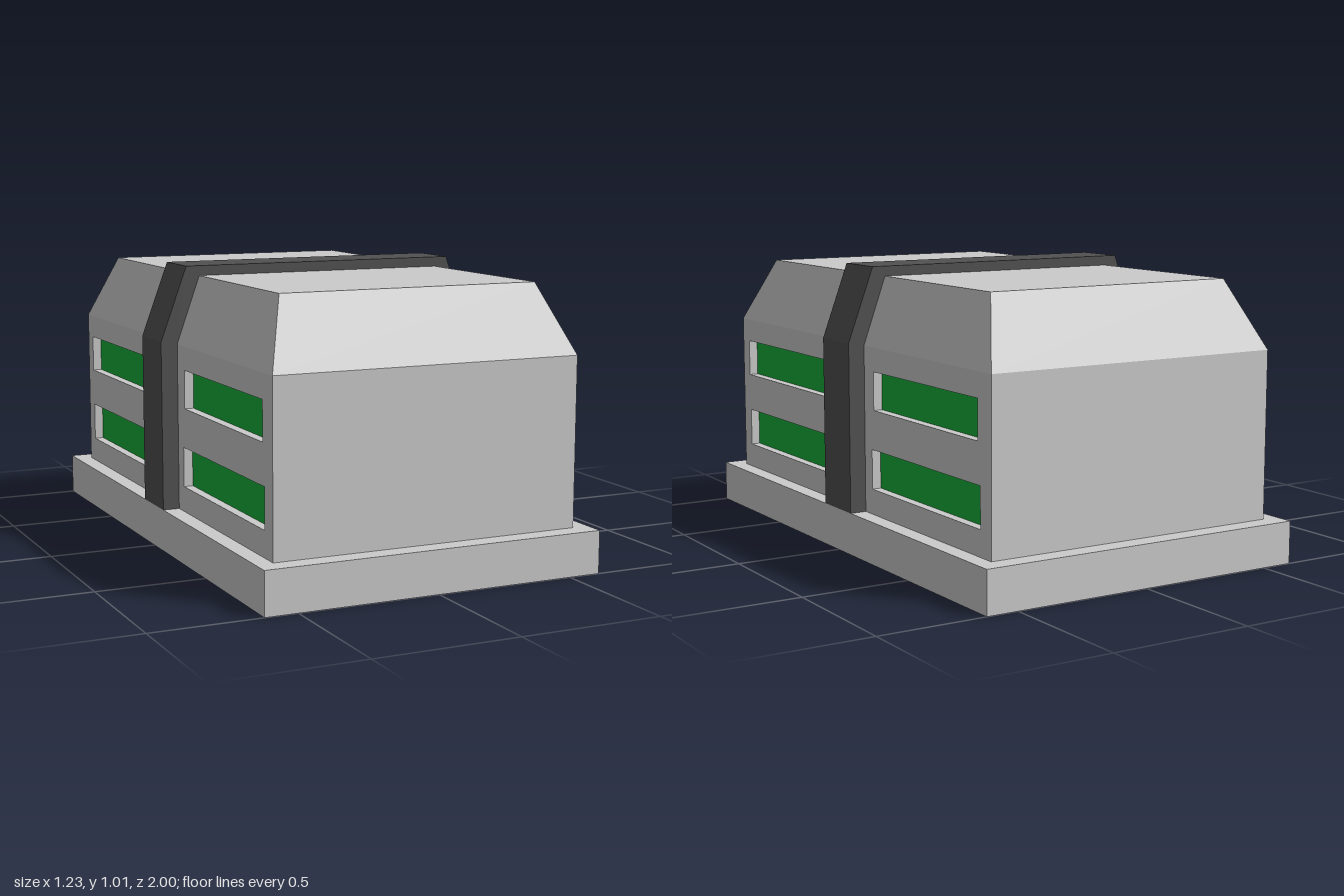
import * as THREE from 'three';

const grey = new THREE.MeshStandardMaterial({ color: 0xcccccc, flatShading: true });
const dark = new THREE.MeshStandardMaterial({ color: 0x515151, flatShading: true });
const green = new THREE.MeshStandardMaterial({ color: 0x16b138, flatShading: true });

// Body half sizes: at the walls and at the flat roof
const WALL = { x: 0.555, y: 0.74, z: 0.93 };
const ROOF = { x: 0.47, y: 0.977, z: 0.79 };
const FLOOR = 0.15;
const RECESS = 0.035;

// Window slots on a long side: [zMin, zMax, yMin, yMax]
const SLOTS = [
  [0.16, 0.875, 0.52, 0.655],
  [0.16, 0.87, 0.24, 0.38],
  [-0.85, -0.165, 0.52, 0.655],
  [-0.865, -0.15, 0.24, 0.38],
];

function add(parent, name, geometry, material) {
  const mesh = new THREE.Mesh(geometry, material);
  mesh.name = name;
  parent.add(mesh);
  return mesh;
}

function box(x, y0, y1, z) {
  return new THREE.BoxGeometry(2 * x, y1 - y0, 2 * z).translate(0, (y0 + y1) / 2, 0);
}

// Box whose top corners are pulled in to the flat roof
function hippedRoof() {
  const g = box(WALL.x, WALL.y, ROOF.y, WALL.z);
  const p = g.attributes.position;
  for (let i = 0; i < p.count; i++) {
    if (p.getY(i) > (WALL.y + ROOF.y) / 2) {
      p.setX(i, Math.sign(p.getX(i)) * ROOF.x);
      p.setZ(i, Math.sign(p.getZ(i)) * ROOF.z);
    }
  }
  g.computeVertexNormals();
  return g;
}

const rect = (a, b, c, d) => [[a, c], [b, c], [b, d], [a, d]].map(([x, y]) => new THREE.Vector2(x, y));

// Long side wall facing +x, cut by slots with coloured panes behind
function sideWall() {
  const side = new THREE.Group();
  const shape = new THREE.Shape(rect(-WALL.z, WALL.z, FLOOR, WALL.y));
  for (const [z0, z1, y0, y1] of SLOTS) {
    shape.holes.push(new THREE.Path(rect(-z1, -z0, y0, y1)));
    const pane = new THREE.PlaneGeometry(z1 - z0, y1 - y0);
    pane.rotateY(Math.PI / 2).translate(WALL.x - RECESS + 0.002, (y0 + y1) / 2, (z0 + z1) / 2);
    add(side, 'windowPane', pane, green);
  }
  const wall = new THREE.ExtrudeGeometry(shape, { depth: RECESS, bevelEnabled: false });
  wall.rotateY(Math.PI / 2).translate(WALL.x - RECESS, 0, 0);
  add(side, 'slottedWall', wall, grey);
  return side;
}

// Strap that follows the body's cross-section
function strap() {
  const outer = [[0.615, FLOOR], [0.615, 0.75], [0.518, 1.012]];
  const inner = [[WALL.x, FLOOR], [WALL.x, WALL.y], [ROOF.x, ROOF.y]];
  const mirror = (pts) => pts.map(([x, y]) => [-x, y]).reverse();
  const outline = [...outer, ...mirror(outer), ...mirror(inner).reverse(), ...inner.slice().reverse()];
  const shape = new THREE.Shape(outline.map(([x, y]) => new THREE.Vector2(x, y)));
  return new THREE.ExtrudeGeometry(shape, { depth: 0.196, bevelEnabled: false }).translate(0, 0, -0.098);
}

export function createModel() {
  const model = new THREE.Group();
  model.name = 'strappedContainer';

  add(model, 'basePlate', box(0.615, 0, FLOOR, 1), grey);
  add(model, 'bodyCore', box(WALL.x - RECESS, FLOOR, WALL.y, WALL.z), grey);
  add(model, 'roof', hippedRoof(), grey);
  add(model, 'strap', strap(), dark);

  // Both long sides, the second turned half around
  ['leftSide', 'rightSide'].forEach((name, i) => {
    const side = sideWall();
    side.name = name;
    side.rotation.y = i * Math.PI;
    model.add(side);
  });
  return model;
}
